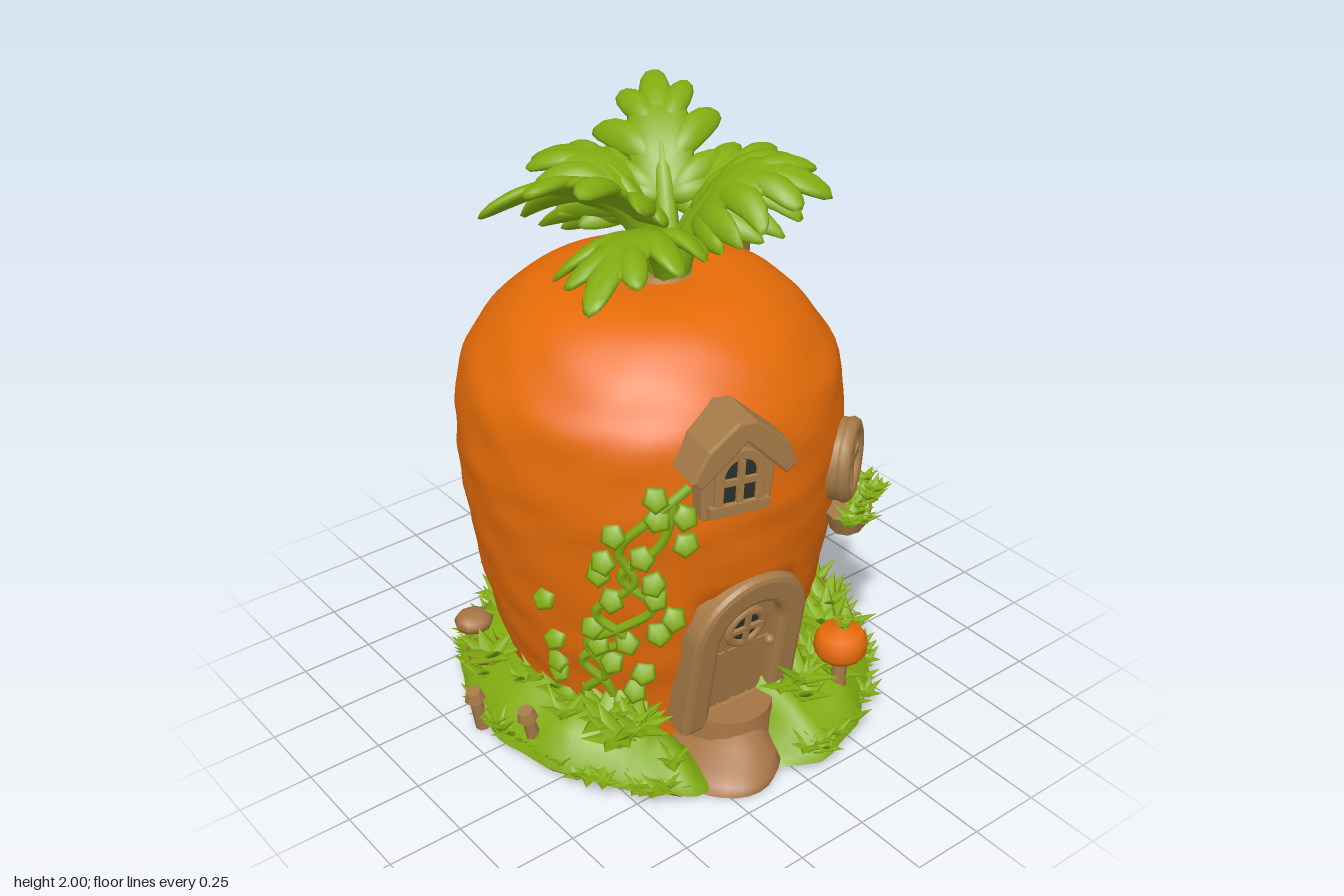
import * as THREE from 'three';
import { mergeGeometries, mergeVertices, toCreasedNormals } from 'three/addons/utils/BufferGeometryUtils.js';

const paint = (name, color) => Object.assign(new THREE.MeshStandardMaterial({ color }), { name });
const V3 = (x, y, z) => new THREE.Vector3(x, y, z);
const V2 = ([x, y]) => new THREE.Vector2(x, y);

export function createModel() {
  const model = new THREE.Group();
  const orange = paint('carrot orange', 0xe66b08), green = paint('leaf green', 0x82ac10), earth = paint('earth olive', 0x7a6c18);
  const wood = paint('wood brown', 0xa67b48), stone = paint('path brown', 0xa67444), glass = paint('dark glass', 0x2a302c);
  let seed = 7;
  const rnd = (a = 0, b = 1) => { seed = (seed * 16807) % 2147483647; return a + (b - a) * seed / 2147483647; };

  const add = (parent, name, geo, mat, x = 0, y = 0, z = 0) => {
    const m = new THREE.Mesh(geo, mat);
    m.name = name; m.position.set(x, y, z); parent.add(m);
    return m;
  };
  const group = (name, x, y, z, rx = 0, ry = 0, rz = 0) => {
    const g = new THREE.Group();
    g.name = name; g.position.set(x, y, z); g.rotation.set(rx, ry, rz, 'YXZ'); model.add(g);
    return g;
  };
  // move every vertex by a rule, then weld and smooth
  const warp = (geo, rule) => {
    geo.deleteAttribute('uv'); geo.deleteAttribute('normal');
    const p = geo.attributes.position, v = V3(0, 0, 0);
    for (let i = 0; i < p.count; i++) { v.fromBufferAttribute(p, i); rule(v); p.setXYZ(i, v.x, v.y, v.z); }
    geo = mergeVertices(geo, 1e-5); geo.computeVertexNormals();
    return geo;
  };

  // carrot body with shallow dents, pressed in behind the door
  const profile = [[.48, .05], [.5, .2], [.55, .4], [.59, .62], [.617, .85], [.625, 1], [.605, 1.2], [.555, 1.3], [.475, 1.4], [.38, 1.47], [.27, 1.503], [.12, 1.5], [0, 1.49]];
  const CX = -.015, CZ = -.05;
  const bodyR = y => {
    const i = Math.max(1, profile.findIndex(p => p[1] >= y)), [a, b] = [profile[i - 1], profile[i]];
    return a[0] + (b[0] - a[0]) * (y - a[1]) / (b[1] - a[1]);
  };
  const onBody = (x, y, lift = 0) => V3(x, y, CZ + Math.sqrt(Math.max(0, bodyR(y) ** 2 - (x - CX) ** 2)) + lift);
  const bodyPts = new THREE.SplineCurve(profile.map(V2)).getPoints(60);
  bodyPts[60].x = 0;
  add(model, 'carrotBody', warp(new THREE.LatheGeometry(bodyPts, 84), v => {
    const a = Math.atan2(v.x, v.z);
    const k = 1 + .008 * Math.sin(7 * a + 3 * Math.sin(4 * v.y)) * Math.sin(31 * v.y + 1.5 * Math.sin(4 * a)) + .004 * Math.sin(3 * a + 2);
    v.x *= k; v.z *= k;
    if (v.z > 0 && Math.abs(v.x + .05) < .17 && v.y < .66) v.z = Math.min(v.z, .45 + .16 * (v.y - .15));
  }), orange, CX, 0, CZ);

  // grassy mound with an uneven rim, dipping under the path
  const hill = [[.69, .03], [.675, .075], [.62, .13], [.55, .17], [.42, .2]];
  const hillY = r => { const i = Math.max(1, hill.findIndex(p => p[0] <= r)), [a, b] = [hill[i - 1], hill[i]]; return a[1] + (b[1] - a[1]) * (r - a[0]) / (b[0] - a[0]); };
  const rim = v => {
    const a = Math.atan2(v.x, v.z);
    const k = 1 + .014 * Math.sin(3 * a + 1) + .01 * Math.sin(8 * a) + .01 * Math.sin(19 * a);
    v.x *= k; v.z *= k * 1.05;
    v.y *= 1 + .15 * Math.sin(11 * a + 14 * Math.hypot(v.x, v.z));
    if (v.z > .3) {
      const dip = Math.exp(-(((v.x + .16) / .16) ** 4));
      v.y *= 1 - .9 * dip; v.z *= 1 - .1 * dip;
    }
  };
  add(model, 'grassMound', warp(new THREE.LatheGeometry(hill.map(V2), 80), rim), green, .01);
  add(model, 'earthRim', warp(new THREE.LatheGeometry([[.66, 0], [.69, .03]].map(V2), 80), rim), earth, .01);
  add(model, 'underside', warp(new THREE.CircleGeometry(.66, 80).rotateX(Math.PI / 2), rim), orange, .01);

  // grass tufts: spreading stars of broad pointed blades
  const tuft = (size, n = 6) => mergeGeometries(Array.from({ length: n }, (_, i) => {
    const h = size * rnd(.8, 1.2);
    return new THREE.ConeGeometry(size * .36, h, 8, 1, true).scale(1, 1, .35).translate(0, h / 2, 0)
      .rotateX(rnd(.75, 1.3)).rotateY(i / n * 6.283 + rnd(0, .5));
  }));
  const tufts = [];
  for (let i = 0; i < 170; i++) {
    const edge = i < 90, a = rnd(0, 6.283), r = edge ? rnd(.655, .69) : rnd(.49, .65);
    const x = r * Math.sin(a), z = 1.05 * r * Math.cos(a);
    if (z > .35 && x > -.36 && x < .035) continue;
    tufts.push(tuft(edge ? rnd(.055, .075) : rnd(.07, .11)).translate(x + .01, edge ? rnd(.03, .06) : hillY(r), z));
  }
  for (const [x, z] of [[-.48, .3], [-.42, .4], [-.5, .4], [.5, .27], [.42, .36], [.55, -.3], [.4, -.5], [.12, -.63], [-.25, -.6], [-.58, -.2], [.58, -.12], [.15, .52]])
    tufts.push(tuft(.13, 9).translate(x, .19, z));
  for (const x of [.05, .1, .17]) tufts.push(tuft(.075).translate(x, .06, .69));
  add(model, 'grassTufts', mergeGeometries(tufts), green);

  // leafy crown: flat lobes bent along an arching rib
  const crownLeaf = (dx, dz, tipY, arch, roll) => {
    const a = Math.atan2(dz, dx), reach = Math.hypot(dx, dz), d = V3(Math.cos(a), 0, Math.sin(a)), side = V3(-Math.sin(a), 0, Math.cos(a));
    const rib = new THREE.QuadraticBezierCurve3(V3(.03, 1.46, 0), d.clone().multiplyScalar(reach * .3).setY(arch), d.clone().multiplyScalar(reach).setY(tipY));
    const L = rib.getLength();
    const lobe = (u, len, w, ang) => new THREE.SphereGeometry(1, 14, 8).scale(len / 2, .026, w / 2)
      .translate(len / 2, 0, 0).rotateY(ang).translate(u * L, 0, 0);
    const parts = [lobe(.3, L * .6, .21, 0), lobe(.64, L * .38, .1, 0),
      new THREE.CylinderGeometry(.018, .046, L * .8, 8, 10).rotateZ(-Math.PI / 2).translate(L * .4, 0, 0)];
    for (const s of [-1, 1])
      parts.push(lobe(.36, .26, .1, s), lobe(.48, .29, .1, s * .75), lobe(.62, .24, .09, s * .48), lobe(.36, .2, .09, s * 1.4));
    return mergeGeometries(parts.map(g => warp(g, v => {
      const t = Math.min(1, Math.max(0, v.x / L)), T = rib.getTangentAt(t), N = side.clone().cross(T);
      const { y, z } = v, over = v.x - t * L;
      v.copy(rib.getPointAt(t)).addScaledVector(T, over).addScaledVector(side, z).addScaledVector(N, y + .2 * Math.abs(z) - 2.6 * z * z + roll * z);
    })));
  };
  const crown = [[-.1, -.53, 1.74, 1.95, 0], [.29, -.43, 1.97, 1.95, .15], [.53, .04, 1.74, 1.9, -.25], [.33, .37, 1.8, 2, -.2], [-.53, .35, 1.67, 1.9, -.2], [-.58, -.1, 1.82, 2, -.5]];
  crown.forEach(c => add(model, 'crownLeaf', crownLeaf(...c), green));
  add(model, 'crownCollar', new THREE.CylinderGeometry(.08, .11, .02, 16), wood, .02, 1.5, -.03);

  // chimney: leaning, tapering shaft with a hollow rim
  const chimney = [[.03, .78], [.045, .85], [.078, 1], [.1, 1.15], [.107, 1.25], [.094, 1.4], [.1, 1.55], [.122, 1.565], [.127, 1.6], [.118, 1.625], [.08, 1.622], [.07, 1.5], [0, 1.5]];
  const flue = warp(new THREE.LatheGeometry(chimney.map(V2), 9), v => {
    const k = Math.min(1, Math.max(0, (1.5 - v.y) / .7));
    v.x += .51 - .02 * k; v.z += -.31 - .08 * k;
  });
  add(model, 'chimney', toCreasedNormals(flue, .7), wood);

  // openings
  const arch = (w, h) => {
    const s = new THREE.Shape().moveTo(-w, 0).lineTo(w, 0).lineTo(w, h - w);
    s.absarc(0, h - w, w, 0, Math.PI, false); s.closePath();
    return s;
  };
  const slab = (shape, depth, bevel = .01) => new THREE.ExtrudeGeometry(shape, { depth, curveSegments: 14, bevelSize: bevel, bevelThickness: bevel, bevelSegments: 2, bevelEnabled: bevel > 0 });
  const cross = (parent, w, h, y, z, t) => {
    add(parent, 'upright', new THREE.BoxGeometry(t, h, .018), wood, 0, y, z);
    add(parent, 'crossbar', new THREE.BoxGeometry(w, t, .018), wood, 0, y, z);
  };
  const roundWindow = (parent, r, tube, y, z) => {
    add(parent, 'windowFrame', new THREE.TorusGeometry(r, tube, 8, 24), wood, 0, y, z);
    add(parent, 'windowGlass', new THREE.CircleGeometry(r, 24), glass, 0, y, z + .004);
    cross(parent, r * 2, r * 2, y, z + .008, tube);
  };

  // door, set back in a thick arched frame
  const door = group('door', -.065, .15, .425, .17, -.06);
  const frame = arch(.195, .555);
  frame.holes.push(arch(.14, .49));
  add(door, 'doorFrame', slab(frame, .17, .02), wood, 0, 0, -.13);
  add(door, 'doorPanel', slab(arch(.145, .495), .1, 0), wood, 0, 0, -.09);
  for (const x of [-.085, -.03, .03, .085]) add(door, 'plank', new THREE.BoxGeometry(.045, .24, .012), wood, x, .14, .01);
  roundWindow(door, .065, .016, .35, .018);
  add(door, 'handle', new THREE.SphereGeometry(.018, 10, 8), wood, .105, .25, .03);

  // sloping fan-shaped path and doorstep
  const fan = [[1, 0], [1, .03], [.85, .055], [.6, .095], [.4, .13], [0, .14]];
  add(model, 'path', warp(new THREE.LatheGeometry(fan.map(V2), 28), v => { v.x = v.x * .18 + .09 * v.y / .14; v.z *= .24; }), stone, -.165, 0, .465);
  add(model, 'doorstep', new THREE.CylinderGeometry(.15, .16, .1, 18), stone, -.07, .115, .42);

  // dormer with gabled roof
  const dormer = group('dormer', -.17, 1, .475, 0, -.2, -.05);
  const wall = new THREE.Shape([[-.105, 0], [.105, 0], [.12, .2], [0, .29], [-.12, .2]].map(V2));
  add(dormer, 'dormerWall', slab(wall, .2, .008), wood, 0, .01, -.09);
  const roof = new THREE.Shape([[-.165, .165], [-.14, .145], [0, .275], [.14, .145], [.165, .165], [.13, .24], [.02, .325], [-.03, .325], [-.12, .25]].map(V2));
  add(dormer, 'dormerRoof', slab(roof, .24, .008), wood, 0, 0, -.09);
  add(dormer, 'sill', new THREE.BoxGeometry(.2, .035, .04), wood, 0, .035, .12);
  const trim = arch(.078, .175);
  trim.holes.push(arch(.058, .15));
  add(dormer, 'dormerTrim', slab(trim, .015, .004), wood, 0, .05, .115);
  add(dormer, 'dormerGlass', new THREE.ShapeGeometry(arch(.062, .155)), glass, 0, .05, .122);
  cross(dormer, .11, .14, .125, .126, .02);

  // oval window with planter
  const win = group('roundWindow', .36, .93, .47, 0, .61);
  win.scale.x = .92;
  roundWindow(win, .115, .028, 0, .012);
  add(win, 'frameBacking', new THREE.CylinderGeometry(.137, .137, .1, 24).rotateX(Math.PI / 2), wood, 0, 0, -.04);
  add(win, 'planter', new THREE.CylinderGeometry(.12, .09, .07, 10).scale(1, 1, .65), wood, 0, -.2, .02);
  const herbs = [];
  for (let i = 0; i < 18; i++) herbs.push(tuft(.062, 5).translate(-.125 + i * .0147, rnd(-.17, -.13), rnd(.04, .09)));
  add(win, 'planterHerbs', mergeGeometries(herbs), green);

  // climbing vines and their leaves
  const vines = [
    [[-.3, 1.1], [-.4, 1.0], [-.47, .88], [-.43, .76], [-.5, .62], [-.43, .52], [-.5, .4], [-.44, .3], [-.4, .18]],
    [[-.34, 1.05], [-.38, .9], [-.46, .78], [-.38, .66], [-.45, .56], [-.5, .48], [-.45, .36], [-.47, .24], [-.44, .16]]];
  const ivy = [], dummy = new THREE.Object3D();
  for (const pts of vines) {
    const curve = new THREE.CatmullRomCurve3(pts.map(([x, y]) => onBody(Math.max(x, CX - bodyR(y) * .93), y, .012)));
    add(model, 'vine', new THREE.TubeGeometry(curve, 60, .016, 6), green);
    for (let i = 0; i < 13; i++) {
      const p = curve.getPoint((i + .5) / 13), y = p.y;
      const x = Math.max(p.x + (i % 2 ? 1 : -1) * rnd(.04, .09), CX - bodyR(y) * .96);
      dummy.position.copy(onBody(x, y, .025));
      dummy.lookAt(2 * x - CX, y + .3, 2 * dummy.position.z - CZ);
      dummy.rotateZ(rnd(-1.2, 1.2)); dummy.updateMatrix();
      ivy.push(new THREE.SphereGeometry(1, 5, 4).rotateX(Math.PI / 2).scale(.042, .046, .018).applyMatrix4(dummy.matrix));
    }
  }
  add(model, 'vineLeaves', mergeGeometries(ivy), green);

  // mushroom
  const shroom = group('mushroom', .285, 0, .575);
  add(shroom, 'stalk', new THREE.CylinderGeometry(.022, .03, .24, 8), wood, 0, .16, 0);
  add(shroom, 'gills', new THREE.CylinderGeometry(.07, .045, .03, 10), wood, 0, .255, 0);
  const cap = [[0, .265], [.075, .262], [.088, .285], [.087, .325], [.07, .352], [0, .365]];
  add(shroom, 'cap', new THREE.LatheGeometry(cap.map(V2), 16), orange);
  add(shroom, 'capSprout', tuft(.05), green, .01, .365, 0);

  // little posts and stones
  for (const [x, y, z, tilt] of [[.635, .19, .03, -.1], [-.64, .13, .12, .25], [-.69, .08, -.12, .2]]) {
    const post = group('post', x, y, z, 0, 0, tilt);
    add(post, 'postShaft', new THREE.CylinderGeometry(.02, .026, .15, 7), wood, 0, -.01, 0);
    add(post, 'postCap', new THREE.CylinderGeometry(.026, .036, .035, 7), wood, 0, .06, 0);
  }
  for (const [x, y, z] of [[.54, .175, .18], [-.5, .17, -.43], [-.56, .17, -.26]])
    add(model, 'pebble', new THREE.SphereGeometry(1, 9, 6).scale(.07, .04, .065), stone, x, y, z);
  return model;
}
